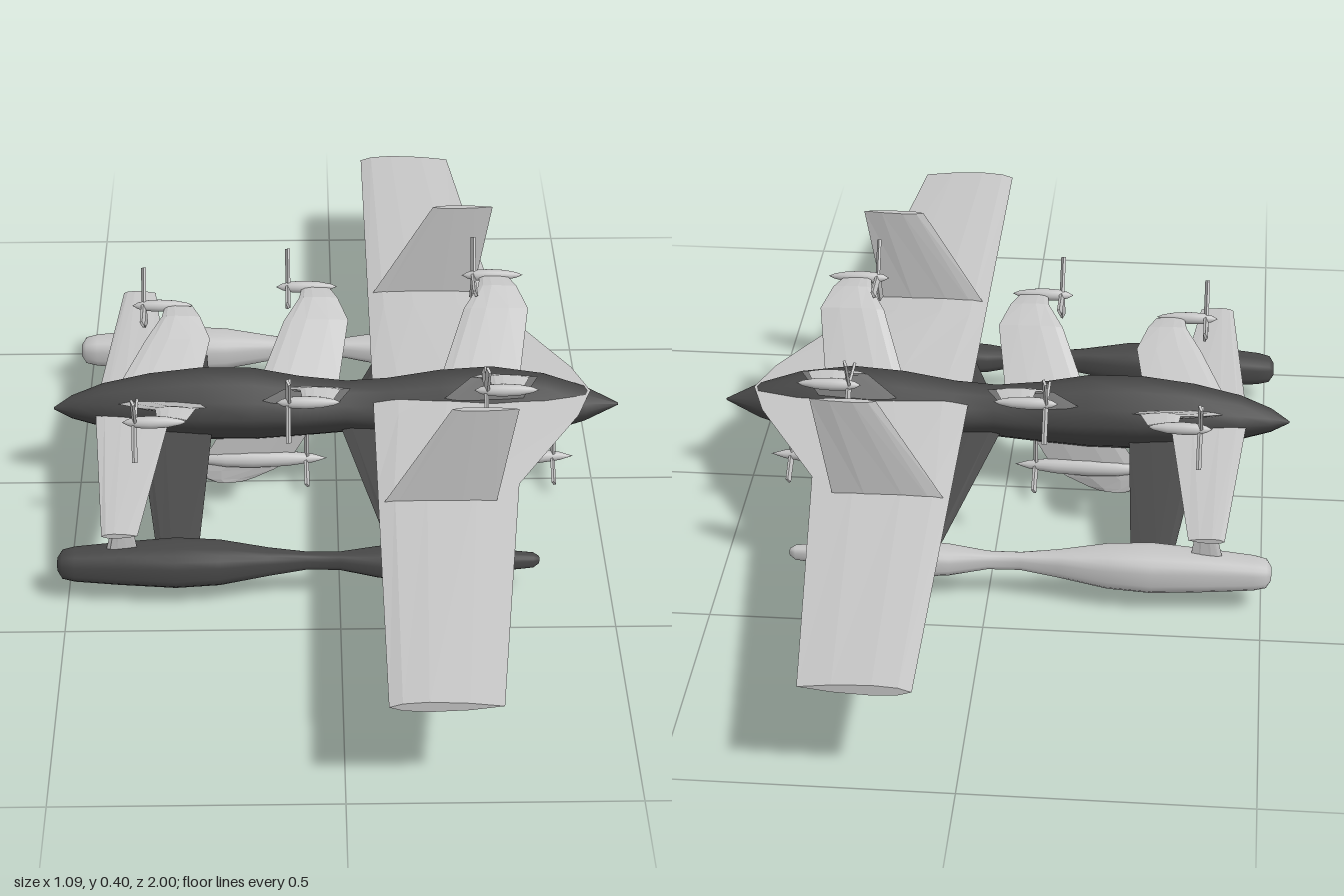
import * as THREE from 'three';

const lightGrey = new THREE.MeshStandardMaterial({ color: 0xc6c6c6 });
lightGrey.name = 'light grey';
const darkGrey = new THREE.MeshStandardMaterial({ color: 0x484848 });
darkGrey.name = 'dark grey';

// Skin a row of rings, close both ends, and turn the faces outward
function loft(name, rings, mat, flat) {
  const n = rings[0].length, pos = [], idx = [];
  rings.forEach(r => r.forEach(p => pos.push(...p)));
  for (let i = 0; i < rings.length - 1; i++) {
    for (let j = 0; j < n; j++) {
      const a = i * n + j, b = i * n + (j + 1) % n;
      idx.push(a, b, a + n, b, b + n, a + n);
    }
  }
  const e = (rings.length - 1) * n;
  for (let j = 1; j < n - 1; j++) idx.push(0, j + 1, j, e, e + j, e + j + 1);
  let volume = 0;
  const v = k => new THREE.Vector3().fromArray(pos, idx[k] * 3);
  for (let k = 0; k < idx.length; k += 3) volume += v(k).dot(v(k + 1).cross(v(k + 2)));
  if (volume < 0) idx.reverse();
  let geo = new THREE.BufferGeometry();
  geo.setAttribute('position', new THREE.Float32BufferAttribute(pos, 3));
  geo.setIndex(idx);
  if (flat) geo = geo.toNonIndexed();
  geo.computeVertexNormals();
  const mesh = new THREE.Mesh(geo, mat);
  mesh.name = name;
  return mesh;
}

// Thin aerofoil through sections [xFront, xBack, y, z]; (ny, nz) is the thickness direction
function foil(name, sections, t, ny, nz, mat) {
  const outline = [[0, 0], [0.12, 0.7], [0.35, 1], [0.7, 0.7], [1, 0.05],
    [0.7, -0.7], [0.35, -1], [0.12, -0.7]];
  return loft(name, sections.map(([x0, x1, y, z]) => outline.map(([u, h]) =>
    [x0 + (x1 - x0) * u, y + h * t * ny, z + h * t * nz])), mat, true);
}

// Body along x from stations [x, bottom, top, halfWidth] and a unit section [z, y]
function hull(name, stations, section, z, mat) {
  return loft(name, stations.map(([x, b, t, w]) => section.map(([sz, sy]) =>
    [x, (b + t) / 2 + sy * (t - b) / 2, z + sz * w])), mat, false);
}

const roundSection = (n, power) => Array.from({ length: n }, (_, i) => {
  const a = (i + 0.5) / n * Math.PI * 2, c = Math.cos(a), s = Math.sin(a);
  return [Math.sign(c) * Math.abs(c) ** power, Math.sign(s) * Math.abs(s) ** power];
});

// Engine cigar with a three-bladed propeller
function engine(name, x0, x1, y, z, r, propX, propR, turn) {
  const g = new THREE.Group();
  g.name = name;
  const len = x1 - x0;
  const pts = [[0, 0], [0.1, 0.55], [0.25, 0.9], [0.45, 1], [0.7, 0.85], [0.9, 0.45], [1, 0]]
    .map(([u, k]) => new THREE.Vector2(k * r, u * len));
  const body = new THREE.Mesh(new THREE.LatheGeometry(pts, 14), lightGrey);
  body.name = 'nacelle';
  body.rotation.z = -Math.PI / 2;
  body.position.set(x0, y, z);
  g.add(body);
  for (let i = 0; i < 3; i++) {
    const hub = new THREE.Group();
    hub.name = 'propellerBlade';
    const blade = new THREE.Mesh(new THREE.BoxGeometry(0.005, propR, 0.013), lightGrey);
    blade.name = 'blade';
    blade.position.y = propR / 2;
    blade.rotation.y = 0.4;
    hub.add(blade);
    hub.position.set(propX, y, z);
    hub.rotation.x = turn + i * Math.PI * 2 / 3;
    g.add(hub);
  }
  return g;
}

export function createModel() {
  const model = new THREE.Group();
  model.name = 'floatAircraft';

  // Spindle fuselage with a flat-topped, pointed-bottom section
  const keel = [[0, -1], [0.45, -0.72], [0.88, -0.2], [1, 0.12], [0.85, 0.55], [0.5, 0.93],
    [0, 1], [-0.5, 0.93], [-0.85, 0.55], [-1, 0.12], [-0.88, -0.2], [-0.45, -0.72]];
  model.add(hull('fuselage', [
    [-0.545, 0.168, 0.172, 0.002], [-0.51, 0.147, 0.195, 0.02], [-0.45, 0.127, 0.217, 0.04],
    [-0.36, 0.108, 0.235, 0.056], [-0.26, 0.098, 0.245, 0.066], [-0.16, 0.097, 0.243, 0.066],
    [-0.07, 0.104, 0.226, 0.056], [0.02, 0.112, 0.217, 0.047], [0.1, 0.104, 0.221, 0.053],
    [0.2, 0.092, 0.235, 0.066], [0.3, 0.09, 0.241, 0.07], [0.4, 0.104, 0.228, 0.056],
    [0.48, 0.132, 0.203, 0.034], [0.545, 0.168, 0.172, 0.002]], keel, 0, darkGrey));

  // Main wing
  model.add(foil('mainWing', [[0.07, 0.26, 0.2, -1], [0.07, 0.33, 0.2, -0.33],
    [0.07, 0.46, 0.2, -0.09], [0.07, 0.49, 0.2, 0], [0.07, 0.46, 0.2, 0.09],
    [0.07, 0.33, 0.2, 0.33], [0.07, 0.26, 0.2, 1]], 0.01, 1, 0, lightGrey));

  // Foreplane
  model.add(foil('foreplane', [[-0.43, -0.365, 0.173, -0.45], [-0.465, -0.315, 0.173, 0],
    [-0.43, -0.365, 0.173, 0.45]], 0.005, 1, 0, lightGrey));

  const floatSection = roundSection(16, 0.7);
  for (const s of [1, -1]) {
    // Side floats
    model.add(hull('sideFloat', [
      [-0.517, 0.062, 0.084, 0.012], [-0.508, 0.049, 0.097, 0.025], [-0.485, 0.044, 0.102, 0.03],
      [-0.4, 0.038, 0.109, 0.037], [-0.3, 0.034, 0.114, 0.046], [-0.22, 0.037, 0.111, 0.04],
      [-0.13, 0.05, 0.099, 0.022], [-0.06, 0.06, 0.092, 0.013], [0, 0.059, 0.091, 0.014],
      [0.07, 0.047, 0.097, 0.029], [0.15, 0.041, 0.101, 0.036], [0.23, 0.046, 0.098, 0.028],
      [0.31, 0.056, 0.09, 0.016], [0.355, 0.06, 0.086, 0.012], [0.366, 0.067, 0.08, 0.005]],
    floatSection, s * 0.39, s > 0 ? darkGrey : lightGrey));

    // Tail fin running through the wing down to the float
    model.add(foil('tailFin', [[0.185, 0.262, 0.085, s * 0.39], [0.075, 0.283, 0.193, s * 0.39],
      [0.2, 0.32, 0.398, s * 0.39]], 0.007, 0, 1, lightGrey));

    // Post from foreplane to float
    model.add(foil('foreplanePost', [[-0.43, -0.368, 0.09, s * 0.39],
      [-0.41, -0.38, 0.175, s * 0.39]], 0.005, 0, 1, lightGrey));

    // Drooping struts from fuselage to floats
    model.add(foil('frontStrut', [[-0.38, -0.24, 0.135, s * 0.03],
      [-0.335, -0.26, 0.078, s * 0.37]], 0.005, 1, 0, darkGrey));
    model.add(foil('rearStrut', [[0.01, 0.17, 0.135, s * 0.03],
      [0.095, 0.17, 0.078, s * 0.37]], 0.005, 1, 0, darkGrey));

    // Upper engine pylons: [root front x, tip y, nacelle start]
    for (const [x, y, nx] of [[-0.42, 0.272, -0.4], [-0.15, 0.312, -0.115], [0.2, 0.335, 0.25]]) {
      model.add(foil('enginePylon', [[x, x + 0.155, 0.2, s * 0.035],
        [x + 0.05, x + 0.175, y - 0.025, s * 0.13],
        [x + 0.08, x + 0.155, y, s * 0.175], [x + 0.085, x + 0.14, y, s * 0.215]],
      0.006, 0.75, -s * 0.66, lightGrey));
      model.add(engine('upperEngine', nx, nx + 0.12, y, s * 0.22, 0.012,
        nx + 0.023, 0.075, -s * Math.PI / 2));
    }
  }

  // Belly engines with keel fins and pusher propellers
  for (const x of [-0.28, 0.2]) {
    model.add(foil('bellyPylon', [[x + 0.06, x + 0.23, 0.12, 0], [x + 0.02, x + 0.19, 0.05, 0],
      [x, x + 0.16, 0.028, 0], [x + 0.02, x + 0.12, 0.008, 0], [x + 0.04, x + 0.1, 0, 0]],
    0.007, 0, 1, lightGrey));
    model.add(engine('bellyEngine', x, x + 0.262, 0.052, 0, 0.018, x + 0.222, 0.06, 0));
  }
  return model;
}
